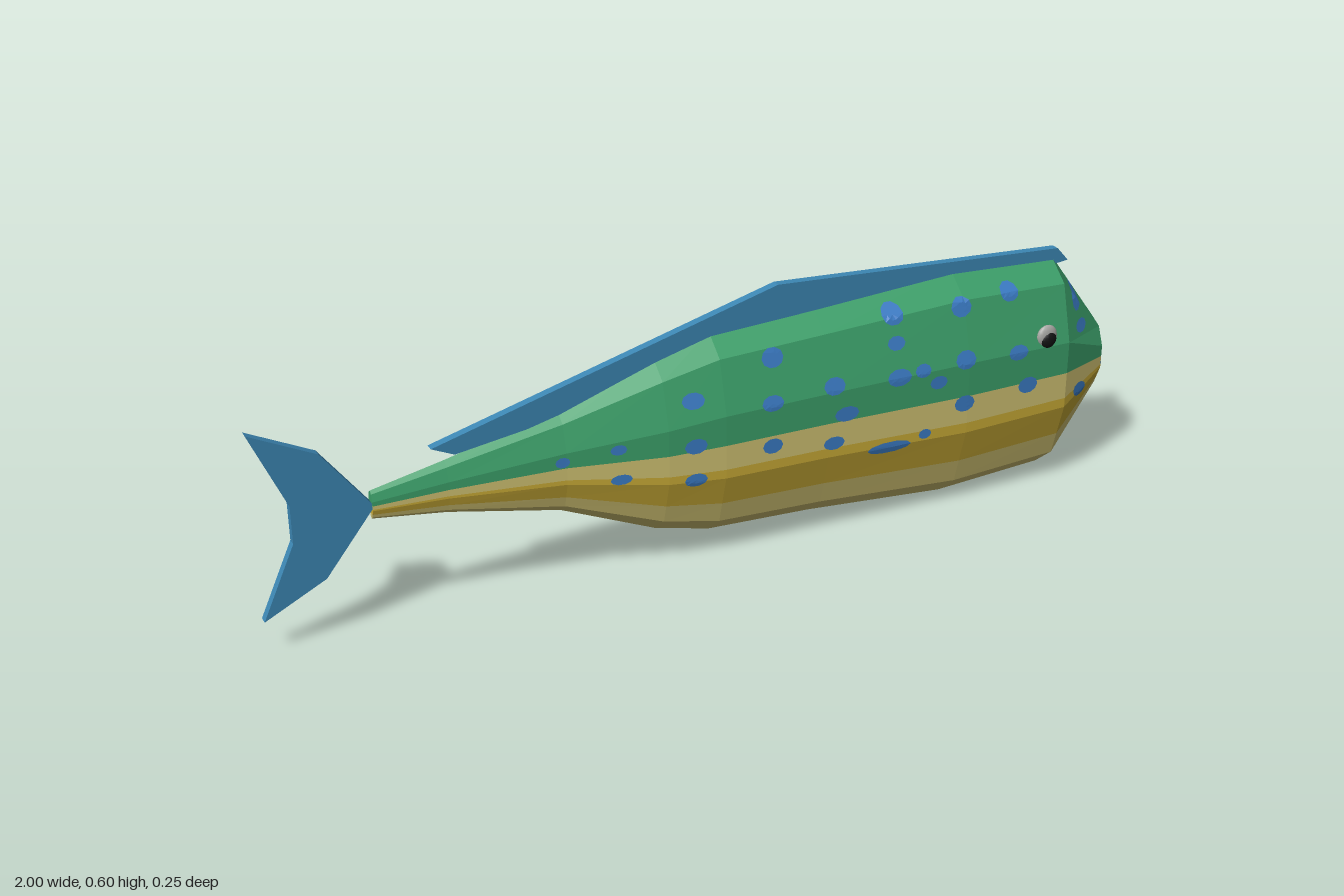
import * as THREE from 'three';
import { ConvexGeometry } from 'three/addons/geometries/ConvexGeometry.js';

const MID = 0.024; // z of the body's centre plane

// Body stations from tail to snout: x, bottom y, top y, half width
const STATIONS = [
  [-0.76, 0.253, 0.317, 0.012], [-0.6, 0.23, 0.35, 0.023], [-0.35, 0.175, 0.41, 0.048],
  [-0.13, 0.078, 0.485, 0.08], [0, 0.045, 0.52, 0.091], [0.25, 0.033, 0.533, 0.096],
  [0.6, 0.003, 0.555, 0.104], [0.87, 0.018, 0.542, 0.1], [1, 0.195, 0.37, 0.051],
];

// Colour bands of the ten-sided cross-section: [height fraction, width fraction], low to high
const BANDS = {
  belly: [[0, 0], [0.095, 0.588], [0.2, 0.74]],
  goldFlank: [[0.2, 0.74], [0.346, 0.951], [0.39, 0.951]],
  paleFlank: [[0.39, 0.951], [0.51, 0.951]],
  back: [[0.51, 0.951], [0.655, 0.951], [0.905, 0.588], [1, 0]],
};
const PROFILE = [[0, 0], [0.095, 0.588], [0.346, 0.951], [0.655, 0.951], [0.905, 0.588], [1, 0]];

// Spots on each flank: x, y, x radius, y radius
const SPOTS = [
  [0.12, 0.46, 0.026, 0.022], [-0.07, 0.4, 0.026, 0.018], [-0.07, 0.3, 0.026, 0.018],
  [0.11, 0.365, 0.026, 0.018], [-0.07, 0.22, 0.026, 0.016], [-0.235, 0.25, 0.024, 0.012],
  [0.11, 0.265, 0.024, 0.018], [0.26, 0.375, 0.026, 0.02], [0.42, 0.5, 0.026, 0.022],
  [0.42, 0.44, 0.022, 0.016], [0.26, 0.24, 0.026, 0.016], [0.4, 0.2, 0.055, 0.014],
  [0.29, 0.305, 0.03, 0.018], [0.42, 0.365, 0.03, 0.02], [0.59, 0.49, 0.026, 0.022],
  [0.59, 0.375, 0.026, 0.022], [0.59, 0.27, 0.026, 0.02], [0.48, 0.37, 0.02, 0.016],
  [0.52, 0.335, 0.022, 0.016], [0.76, 0.28, 0.026, 0.02], [0.73, 0.365, 0.026, 0.018],
  [0.72, 0.5, 0.024, 0.02], [0.92, 0.385, 0.02, 0.016], [0.92, 0.23, 0.022, 0.018],
  [0.91, 0.45, 0.016, 0.03], [-0.24, 0.32, 0.018, 0.012], [-0.36, 0.31, 0.016, 0.012],
  [0.49, 0.215, 0.016, 0.012],
];

const mat = (name, color) => new THREE.MeshStandardMaterial({ name, color });

function flatGeometry(positions) {
  const g = new THREE.BufferGeometry();
  g.setAttribute('position', new THREE.Float32BufferAttribute(positions, 3));
  g.computeVertexNormals();
  return g;
}

// Sweep one colour band along the stations on both sides and close its ends
function bandGeometry(band) {
  const out = [];
  const quad = (a, b, c, d, flip) => {
    const order = flip ? [a, c, b, a, d, c] : [a, b, c, a, c, d];
    order.forEach((p) => out.push(...p));
  };
  const at = ([x, bottom, top, w], [f, k], side) => [x, bottom + (top - bottom) * f, MID + side * w * k];
  for (let j = 0; j < band.length - 1; j++) {
    const lo = band[j], hi = band[j + 1];
    for (const side of [1, -1]) {
      for (let i = 0; i < STATIONS.length - 1; i++) {
        const s = STATIONS[i], t = STATIONS[i + 1];
        quad(at(s, lo, side), at(t, lo, side), at(t, hi, side), at(s, hi, side), side < 0);
      }
    }
    for (const s of [STATIONS[0], STATIONS[STATIONS.length - 1]]) {
      quad(at(s, lo, 1), at(s, lo, -1), at(s, hi, -1), at(s, hi, 1), s === STATIONS[0]);
    }
  }
  return flatGeometry(out);
}

// Linear interpolation of a column in a table sorted by its first column
function lookup(table, v, col) {
  let i = 0;
  while (i < table.length - 2 && v > table[i + 1][0]) i++;
  const t = (v - table[i][0]) / (table[i + 1][0] - table[i][0]);
  return THREE.MathUtils.lerp(table[i][col], table[i + 1][col], THREE.MathUtils.clamp(t, 0, 1));
}

// Distance of the skin from the centre plane
function skin(x, y) {
  const bottom = lookup(STATIONS, x, 1), top = lookup(STATIONS, x, 2);
  return lookup(STATIONS, x, 3) * lookup(PROFILE, (y - bottom) / (top - bottom), 1);
}

// Thin oval patches that follow the skin
function spotsGeometry(side) {
  const out = [], n = 10;
  for (const [x, y, rx, ry] of SPOTS) {
    const point = (r, i) => {
      const a = (i / n) * Math.PI * 2;
      const px = x + Math.cos(a) * rx * r, py = y + Math.sin(a) * ry * r;
      return [px, py, MID + side * (skin(px, py) + 0.003)];
    };
    for (let i = 0; i < n; i++) {
      const [p, q] = side > 0 ? [i, i + 1] : [i + 1, i];
      out.push(...point(0, 0), ...point(0.5, p), ...point(0.5, q));
      out.push(...point(0.5, p), ...point(1, p), ...point(1, q));
      out.push(...point(0.5, p), ...point(1, q), ...point(0.5, q));
    }
  }
  return flatGeometry(out);
}

// Flat fin cut from an outline in the centre plane
function finGeometry(points) {
  const shape = new THREE.Shape(points.map(([x, y]) => new THREE.Vector2(x, y)));
  return new THREE.ExtrudeGeometry(shape, { depth: 0.02, bevelEnabled: false }).translate(0, 0, MID - 0.01);
}

export function createModel() {
  const model = new THREE.Group();
  const green = mat('green', 0x3ca06a), pale = mat('paleYellow', 0xd0c272), gold = mat('gold', 0xc9ab36);
  const finBlue = mat('finBlue', 0x3d88b5), spotBlue = mat('spotBlue', 0x3b7cc6);
  const black = mat('black', 0x141414), grey = mat('eyeGrey', 0xa8a8a4);
  const add = (name, geometry, material) => {
    const mesh = new THREE.Mesh(geometry, material);
    mesh.name = name;
    model.add(mesh);
    return mesh;
  };

  // Body
  const bandColours = { belly: pale, goldFlank: gold, paleFlank: pale, back: green };
  for (const name in BANDS) add(name, bandGeometry(BANDS[name]), bandColours[name]);

  // Spots and eyes on both sides
  for (const [label, side] of [['left', 1], ['right', -1]]) {
    add(label + 'Spots', spotsGeometry(side), spotBlue);
    const white = add(label + 'EyeWhite', new THREE.SphereGeometry(0.027, 14, 10), grey);
    white.position.set(0.81, 0.387, MID + side * 0.089);
    white.scale.z = 0.4;
    const pupil = add(label + 'Pupil', new THREE.SphereGeometry(0.021, 14, 10), black);
    pupil.position.set(0.812, 0.38, MID + side * 0.092);
    pupil.scale.z = 0.57;
  }

  // Mouth line
  add('mouthLine', new THREE.BoxGeometry(0.006, 0.008, 0.094), spotBlue).position.set(0.999, 0.266, MID);

  // Fins
  add('dorsalFin', finGeometry([
    [-0.63, 0.385], [-0.58, 0.362], [-0.35, 0.395], [0, 0.5], [0.6, 0.53], [0.85, 0.52],
    [0.91, 0.527], [0.88, 0.56], [0.16, 0.6],
  ]), finBlue);
  add('tailFin', finGeometry([
    [-0.755, 0.285], [-0.86, 0.425], [-1, 0.495], [-0.927, 0.325], [-0.927, 0.24],
    [-1, 0.078], [-0.865, 0.145],
  ]), finBlue);
  add('pectoralFin', new ConvexGeometry([
    [0.39, 0.225, -0.125], [0.36, 0.295, -0.092], [0.51, 0.24, -0.07],
    [0.4, 0.212, -0.109], [0.42, 0.21, -0.07],
  ].map((p) => new THREE.Vector3(...p))), finBlue);

  return model;
}
